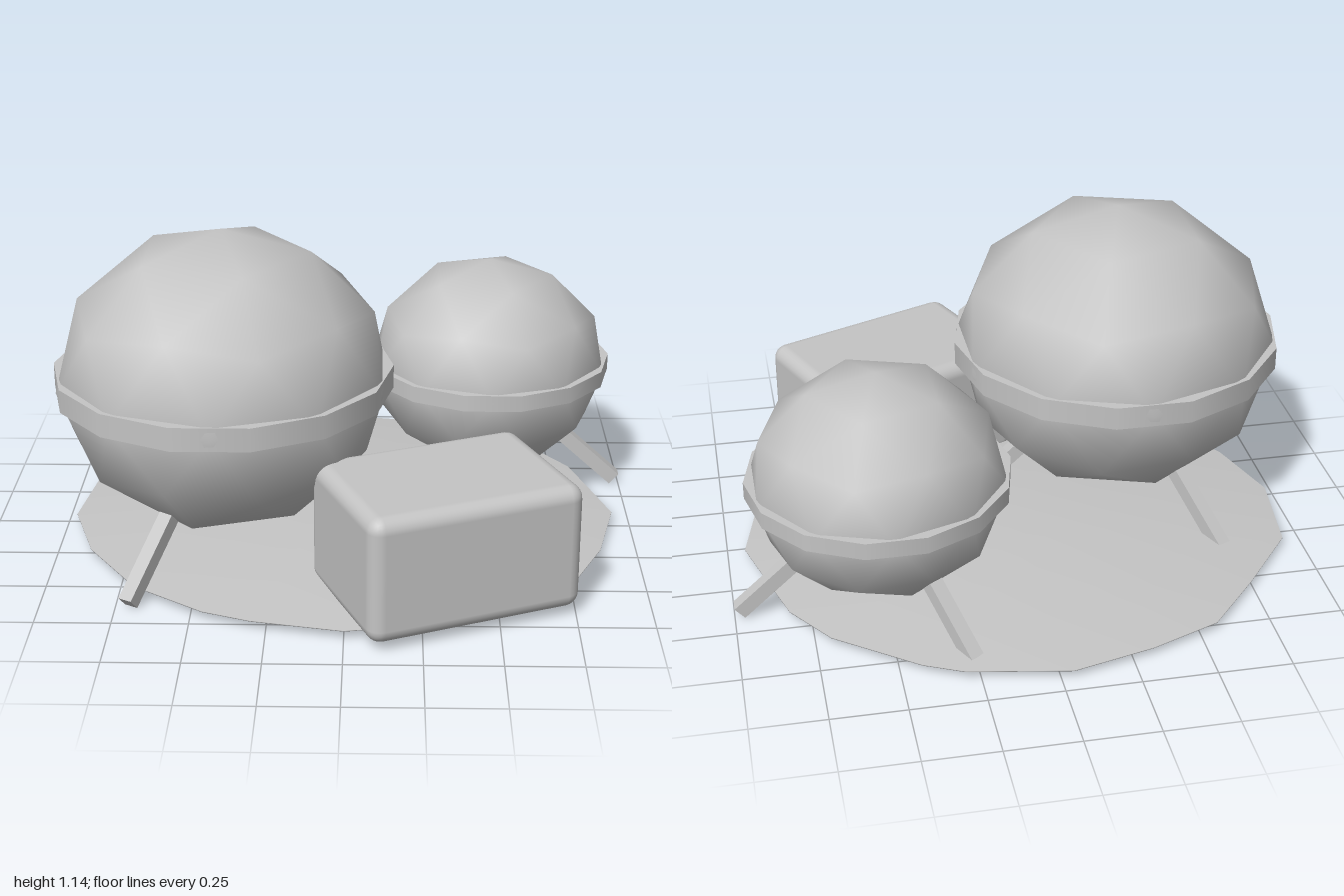
import * as THREE from 'three';
import { RoundedBoxGeometry } from 'three/addons/geometries/RoundedBoxGeometry.js';

const grey = new THREE.MeshStandardMaterial({ color: 0xc4c4c4 });
grey.name = 'plain grey';

function part(name, geometry, parent) {
  const mesh = new THREE.Mesh(geometry, grey);
  mesh.name = name;
  parent.add(mesh);
  return mesh;
}

// Slightly squashed smooth dome with a pole vertex, a 14-sided belt and three splayed legs
function dome(name, { x, y, z, radius, beltRadius, beltHeight, footRadius }) {
  const group = new THREE.Group();
  group.name = name;
  group.position.set(x, 0, z);

  const shell = new THREE.IcosahedronGeometry(radius, 1);
  shell.rotateZ(Math.atan(2 / (1 + Math.sqrt(5))));
  shell.rotateY(Math.PI);
  shell.scale(1, 0.905, 1);
  part('shell', shell, group).position.y = y;

  const belt = new THREE.CylinderGeometry(beltRadius, beltRadius, beltHeight, 14);
  belt.rotateY(Math.PI / 2);
  part('belt', belt, group).position.y = y;

  const length = 0.34, thickness = 0.05, slope = 0.73;
  for (let i = 0; i < 3; i++) {
    const leg = new THREE.BoxGeometry(length, thickness, thickness);
    leg.translate(-length / 2, 0, 0);
    leg.rotateZ(-slope);
    leg.translate(footRadius, 0.0187, 0);
    leg.rotateY(i * Math.PI * 2 / 3);
    part('leg', leg, group);
  }
  return group;
}

// Low mound of ground with an uneven rim and a flat underside
function moundGeometry() {
  const rim = [
    [-0.04, -0.94], [0.3, -0.88], [0.43, -0.82], [0.7, -0.62], [0.82, -0.45], [0.89, -0.22],
    [0.94, -0.05], [0.87, 0.25], [0.76, 0.49], [0.5, 0.72], [0.25, 0.8], [0, 0.84],
    [-0.3, 0.78], [-0.46, 0.72], [-0.7, 0.55], [-0.88, 0.28], [-0.97, 0], [-0.93, -0.33],
    [-0.74, -0.57], [-0.56, -0.775], [-0.32, -0.87],
  ];
  const n = rim.length, cx = -0.02, cz = -0.05;
  const levels = [[0.35, 0.083], [0.7, 0.06], [1, 0.03]];
  const positions = [cx, 0.09, cz], index = [];
  for (const [s, y] of levels) {
    for (const [x, z] of rim) positions.push(cx + (x - cx) * s, y, cz + (z - cz) * s);
  }
  // separate vertices keep the underside flat
  const base = positions.length / 3;
  positions.push(cx, 0.027, cz);
  for (const [x, z] of rim) positions.push(x, 0.027, z);
  for (let i = 0; i < n; i++) {
    const j = (i + 1) % n;
    index.push(0, 1 + j, 1 + i);
    for (let k = 0; k < 2; k++) {
      const a = 1 + k * n, b = a + n;
      index.push(a + i, a + j, b + i, a + j, b + j, b + i);
    }
    index.push(base, base + 1 + i, base + 1 + j);
    const top = 1 + 2 * n;
    index.push(top + i, top + j, base + 1 + i, top + j, base + 1 + j, base + 1 + i);
  }
  const geometry = new THREE.BufferGeometry();
  geometry.setAttribute('position', new THREE.Float32BufferAttribute(positions, 3));
  geometry.setIndex(index);
  geometry.computeVertexNormals();
  return geometry;
}

export function createModel() {
  const model = new THREE.Group();
  model.name = 'domeCamp';

  part('groundMound', moundGeometry(), model);

  model.add(dome('largeDome', {
    x: -0.42, y: 0.625, z: 0.15, radius: 0.57, beltRadius: 0.575, beltHeight: 0.08, footRadius: 0.575,
  }));
  model.add(dome('smallDome', {
    x: 0.5, y: 0.481, z: -0.39, radius: 0.43, beltRadius: 0.44, beltHeight: 0.058, footRadius: 0.483,
  }));

  // Rounded crate turned toward the domes
  const crate = part('crate', new RoundedBoxGeometry(0.74, 0.43, 0.535, 3, 0.05), model);
  crate.position.set(0.325, 0.242, 0.565);
  crate.rotation.y = 0.4;

  return model;
}
